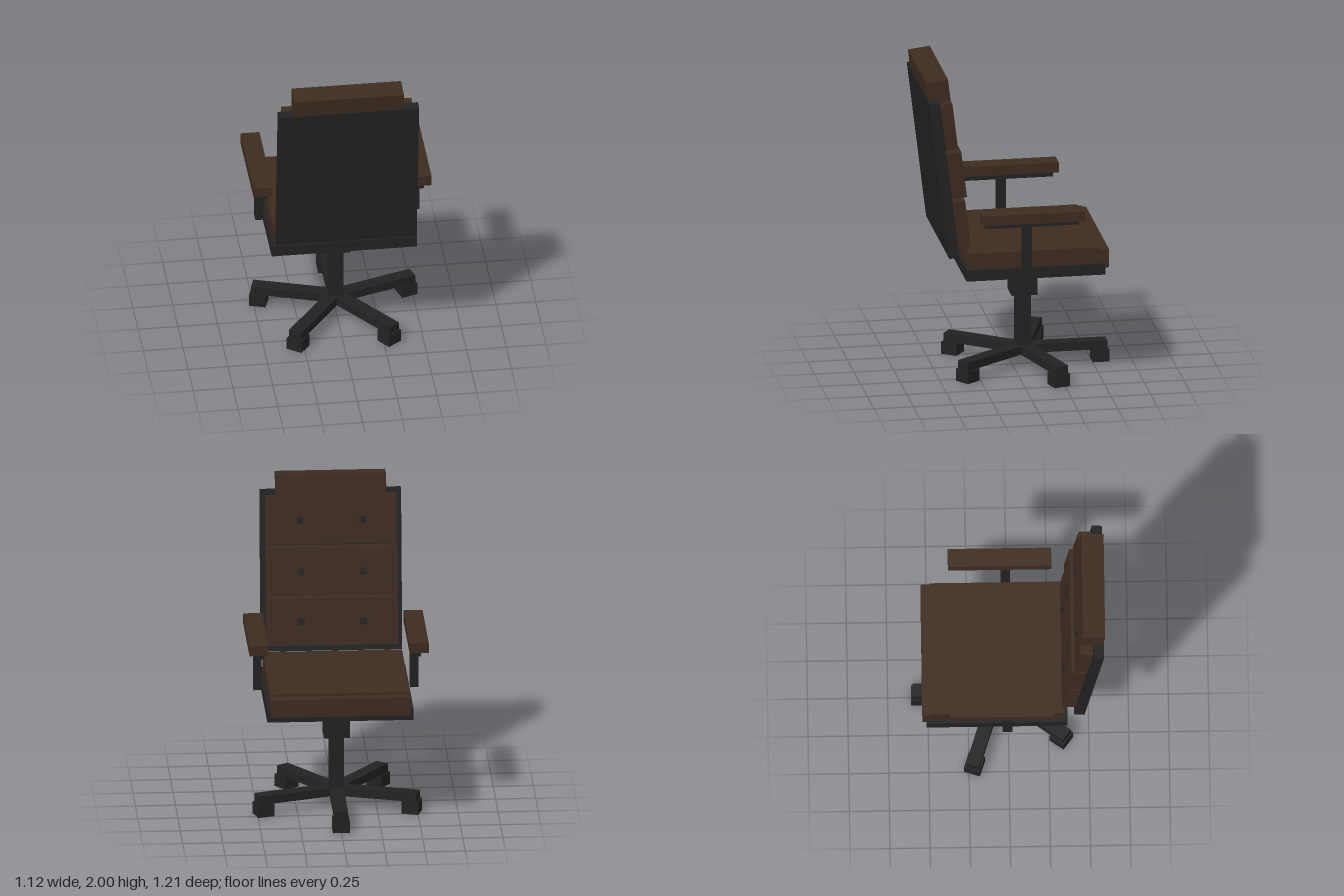
import * as THREE from 'three';

export function createModel() {
  const chair = new THREE.Group();
  chair.name = 'officeChair';

  const leather = new THREE.MeshStandardMaterial({ color: 0x3d2b1f });
  leather.name = 'brown leather';
  const black = new THREE.MeshStandardMaterial({ color: 0x222222 });
  black.name = 'black plastic';

  // Box given by its [min, max] range on each axis
  function box(parent, name, material, [x0, x1], [y0, y1], [z0, z1]) {
    const mesh = new THREE.Mesh(new THREE.BoxGeometry(x1 - x0, y1 - y0, z1 - z0), material);
    mesh.position.set((x0 + x1) / 2, (y0 + y1) / 2, (z0 + z1) / 2);
    mesh.name = name;
    parent.add(mesh);
    return mesh;
  }
  const half = (w) => [-w, w];

  // Five-armed base with block casters
  const base = new THREE.Group();
  base.name = 'starBase';
  base.position.z = -0.065;
  chair.add(base);
  for (let i = 0; i < 5; i++) {
    const arm = new THREE.Group();
    arm.name = 'baseArm';
    arm.rotation.y = (i * Math.PI * 2) / 5;
    box(arm, 'baseLeg', black, half(0.043), [0.08, 0.135], [-0.53, 0]);
    box(arm, 'caster', black, half(0.0525), [0, 0.08], [-0.54, -0.435]);
    base.add(arm);
  }

  // Column and tilt mechanism
  box(base, 'column', black, half(0.045), [0.08, 0.47], half(0.045));
  box(base, 'columnHousing', black, half(0.081), [0.47, 0.63], half(0.081));
  box(chair, 'tiltMechanism', black, half(0.212), [0.63, 0.705], [-0.257, 0.168]);
  box(chair, 'heightLever', black, [-0.375, -0.2], [0.65, 0.675], [-0.015, 0.015]);

  // Seat
  box(chair, 'seatPan', black, half(0.457), [0.705, 0.775], [-0.513, 0.365]);
  box(chair, 'seatCushion', leather, half(0.436), [0.775, 0.88], [-0.482, 0.345]);
  box(chair, 'seatFrontRoll', leather, half(0.436), [0.745, 0.862], [-0.54, -0.482]);

  // Armrests
  for (const side of [-1, 1]) {
    const arm = new THREE.Group();
    arm.name = side > 0 ? 'leftArmrest' : 'rightArmrest';
    const span = (a, b) => (side > 0 ? [a, b] : [-b, -a]);
    box(arm, 'armPad', leather, span(0.44, 0.56), [1.095, 1.16], [-0.368, 0.278]);
    box(arm, 'armRail', black, span(0.464, 0.515), [1.062, 1.095], [-0.335, 0.256]);
    box(arm, 'armPost', black, span(0.464, 0.515), [0.76, 1.07], [-0.04, 0.02]);
    chair.add(arm);
  }

  // Reclined backrest, with its cushions facing -z
  const back = new THREE.Group();
  back.name = 'backrest';
  back.position.set(0, 1.366, 0.5);
  back.rotation.x = 0.12;
  chair.add(back);
  box(back, 'backShell', black, half(0.441), half(0.512), half(0.032));
  box(back, 'headrest', leather, half(0.344), [0.486, 0.626], [-0.112, 0.027]);

  // Three padded panels, each with two buttons
  for (const [y, front] of [[-0.31, -0.115], [0.012, -0.13], [0.335, -0.112]]) {
    box(back, 'backCushion', leather, half(0.41), [y - 0.15, y + 0.15], [front, -0.032]);
    for (const x of [-0.195, 0.195]) {
      box(back, 'button', black, [x - 0.021, x + 0.021], [y - 0.021, y + 0.021], [front - 0.012, front + 0.01]);
    }
  }

  return chair;
}
